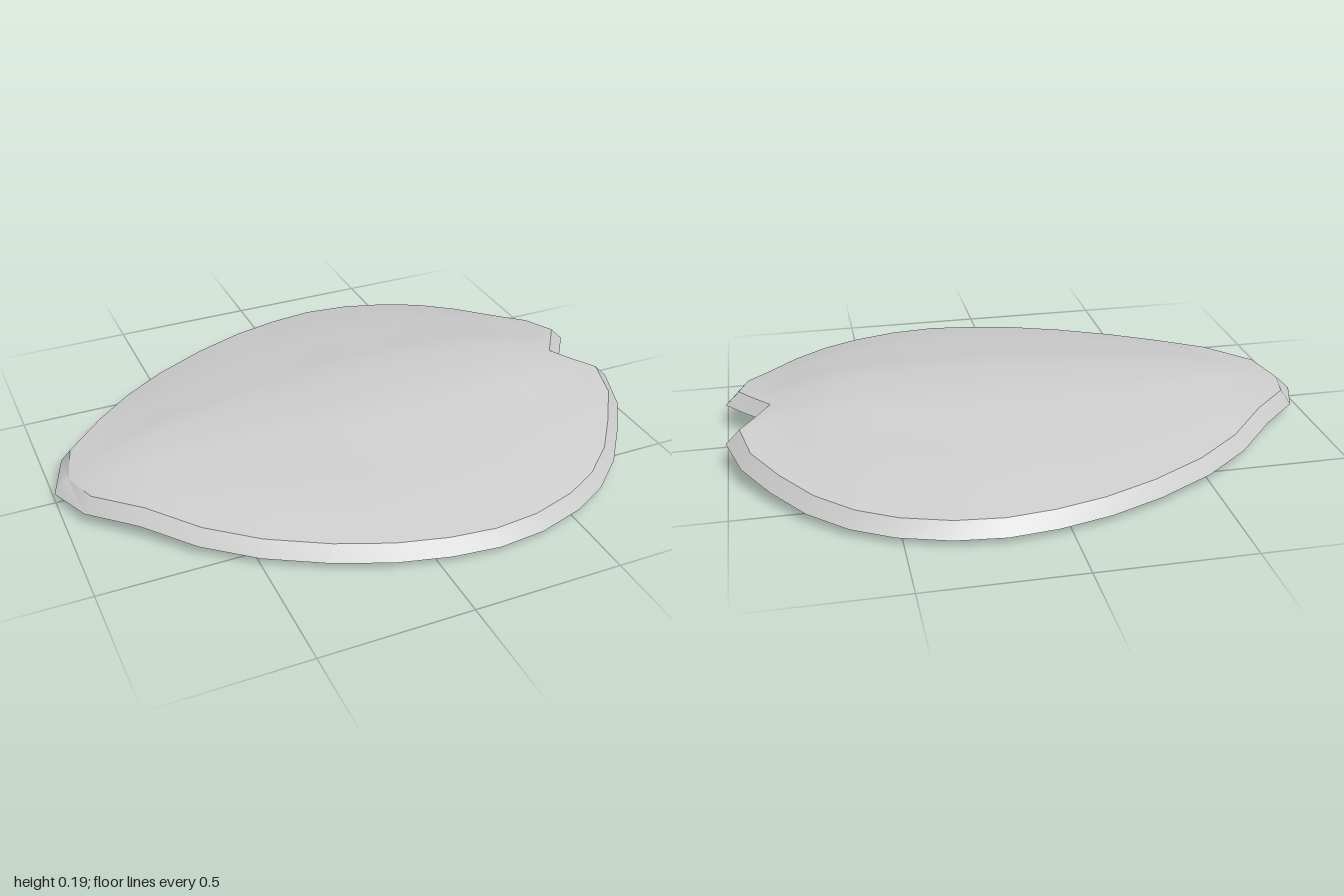
import * as THREE from 'three';
import { toCreasedNormals } from 'three/addons/utils/BufferGeometryUtils.js';

// Half outline of the petal, tip to notch: x, z, rim height, ridge height
const OUTLINE = [
  [-1, 0, 0.035, 0.082], [-0.94, 0.16, 0.048, 0.097], [-0.8, 0.3, 0.055, 0.127],
  [-0.66, 0.445, 0.037, 0.15], [-0.5, 0.565, 0.028, 0.152], [-0.31, 0.668, 0.024, 0.166],
  [-0.13, 0.74, 0.022, 0.168], [0.04, 0.782, 0.021, 0.185], [0.2, 0.8, 0.021, 0.186],
  [0.36, 0.784, 0.021, 0.186], [0.52, 0.735, 0.022, 0.186], [0.65, 0.665, 0.025, 0.184],
  [0.77, 0.56, 0.032, 0.168], [0.87, 0.43, 0.045, 0.145], [0.955, 0.3, 0.066, 0.138],
  [1, 0.15, 0.087, 0.134],
];
const LAST = OUTLINE.length - 1;
const NOTCH = LAST - 2;      // first station that meets the notch
const INSET = 0.037, ABOVE = 0.047, BELOW = 0.02;
const THICKNESS = 0.03;      // the blade is thinner than its lip
const STEPS = 10;

// Cross profile: 1 on the ridge, 0 at the edge
const PROFILE = [[0, 1], [0.19, 0.98], [0.45, 0.69], [0.72, 0.4], [1, 0]];
function profile(s) {
  const i = Math.max(1, PROFILE.findIndex(p => s <= p[0]));
  const [s0, f0] = PROFILE[i - 1], [s1, f1] = PROFILE[i];
  return THREE.MathUtils.mapLinear(s, s0, s1, f0, f1);
}

// Outline point moved inwards along the local normal
function insetPoint(k) {
  const [x, z] = OUTLINE[k];
  if (k === 0) return [x + 0.05, 0];
  if (k === LAST) return [0.953, 0.15];
  const a = OUTLINE[k - 1], b = OUTLINE[k + 1];
  const dx = b[0] - a[0], dz = b[1] - a[1], l = Math.hypot(dx, dz);
  return [x + dz / l * INSET, z - dx / l * INSET];
}

// Half section: top, outer rim, lip, hollow underside, then the notch lip and rim
function section(k) {
  const [x, z, rimY, ridgeY] = OUTLINE[k];
  const [ex, ez] = insetPoint(k);
  const n = Math.max(0, (k - NOTCH) / (LAST - NOTCH));
  const inner = k < NOTCH ? [ex, 0] : [0.85 + 0.103 * n, 0.15 * n];
  const edgeY = rimY + ABOVE;
  const top = [];
  for (let j = 0; j <= STEPS; j++) {
    const s = j / STEPS;
    top.push(new THREE.Vector3(
      THREE.MathUtils.lerp(inner[0], ex, s),
      edgeY + (ridgeY - edgeY) * profile(s),
      THREE.MathUtils.lerp(inner[1], ez, s)));
  }
  const lowered = (p, d) => new THREE.Vector3(p.x, p.y - d, p.z);
  return [
    ...top,
    new THREE.Vector3(x, rimY, z),
    lowered(top[STEPS], ABOVE + BELOW),
    ...top.map(p => lowered(p, THICKNESS)).reverse(),
    lowered(top[0], ABOVE + BELOW),
    new THREE.Vector3(0.895 + 0.105 * n, ridgeY - ABOVE, 0.15 * n),
  ];
}

function petalGeometry() {
  const positions = [];
  const tri = (a, b, c) => {
    if (new THREE.Triangle(a, b, c).getArea() < 1e-7) return;
    for (const p of [a, b, c]) positions.push(p.x, p.y, p.z);
    for (const p of [a, c, b]) positions.push(p.x, p.y, -p.z);   // mirrored half
  };
  const rows = OUTLINE.map((_, k) => section(k));
  const count = rows[0].length;
  for (let k = 0; k < LAST; k++) {
    // the notch lip and rim close the loop only beside the notch
    const sides = k >= NOTCH ? count : count - 3;
    for (let j = 0; j < sides; j++) {
      const i = (j + 1) % count;
      const a = rows[k][j], b = rows[k][i], c = rows[k + 1][i], d = rows[k + 1][j];
      tri(a, b, c);
      tri(a, c, d);
    }
  }
  const geometry = new THREE.BufferGeometry();
  geometry.setAttribute('position', new THREE.Float32BufferAttribute(positions, 3));
  return toCreasedNormals(geometry, 0.45);
}

export function createModel() {
  const group = new THREE.Group();
  const petal = new THREE.Mesh(petalGeometry(), new THREE.MeshStandardMaterial({ color: 0xcccccc }));
  petal.name = 'notchedPetal';
  group.add(petal);
  return group;
}
